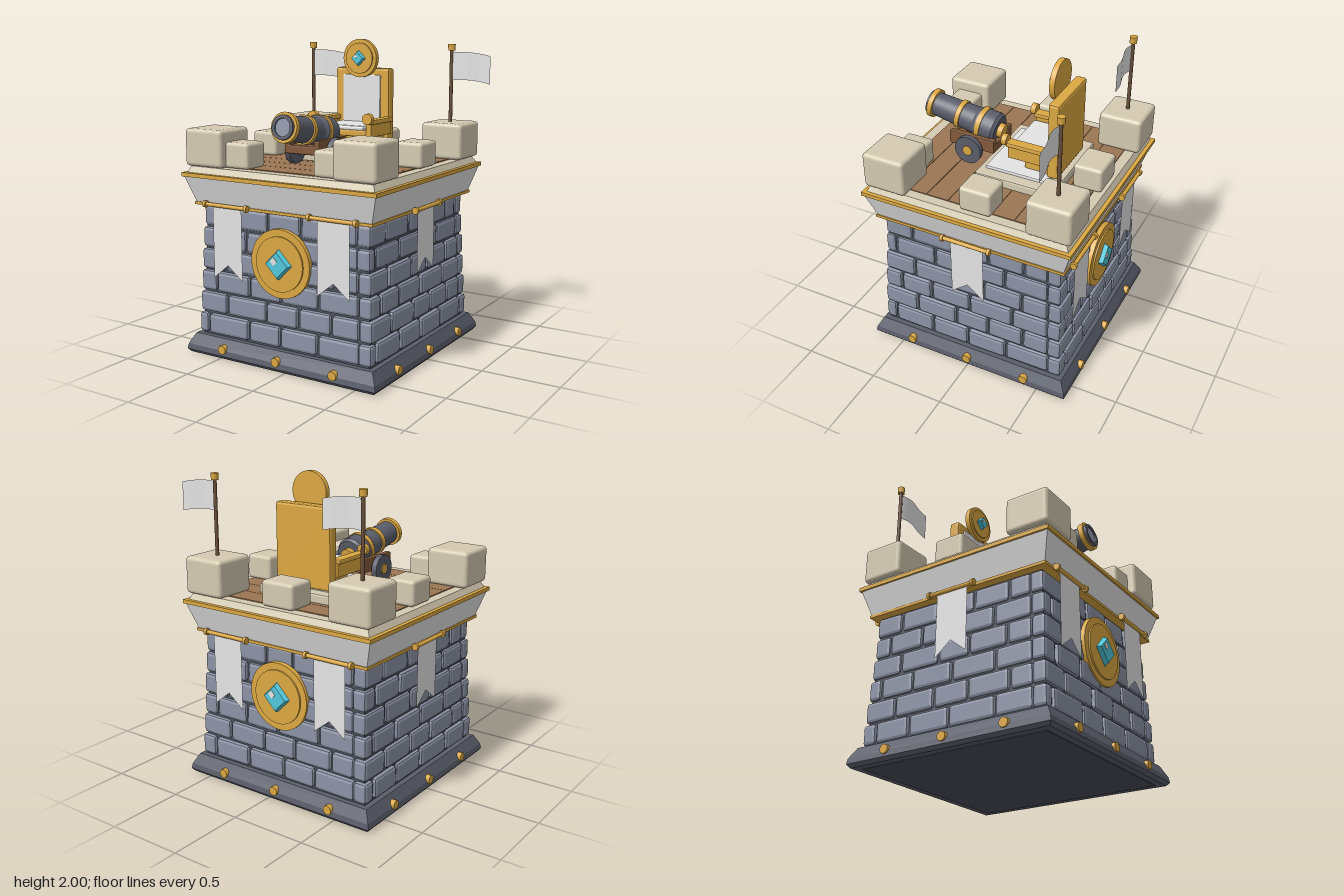
import * as THREE from 'three';
import { mergeGeometries } from 'three/addons/utils/BufferGeometryUtils.js';
import { RoundedBoxGeometry } from 'three/addons/geometries/RoundedBoxGeometry.js';

const palette = {
  gold: 0xdca842, cream: 0xd5cbb2, white: 0xe4e4e4, brick: 0x8d93a6, darkStone: 0x5a5e6a,
  mortar: 0x4a4e59, wood: 0x9b7652, darkWood: 0x82593a, poleWood: 0x6a4f3a, gem: 0x50c8dc,
};
const mats = {};
for (const [name, color] of Object.entries(palette)) {
  mats[name] = new THREE.MeshStandardMaterial({ color });
  mats[name].name = name;
}
mats.white.side = THREE.DoubleSide; // thin cloth shows from both sides

let seed = 7;
const rand = () => (seed = (seed * 16807) % 2147483647) / 2147483647;

function flat(geo) {
  const g = geo.index ? geo.toNonIndexed() : geo;
  g.computeVertexNormals();
  return g;
}
function add(parent, name, geo, mat, x = 0, y = 0, z = 0) {
  const m = new THREE.Mesh(geo, mats[mat]);
  m.name = name;
  m.position.set(x, y, z);
  parent.add(m);
  return m;
}
// Square slab, half widths at bottom and top, from y0 to y1
function slab(parent, name, mat, h0, h1, y0, y1) {
  const g = new THREE.CylinderGeometry(h1 * Math.SQRT2, h0 * Math.SQRT2, y1 - y0, 4).rotateY(Math.PI / 4);
  return add(parent, name, flat(g), mat, 0, (y0 + y1) / 2, 0);
}
// Bevelled box given by its extents
function block(parent, name, mat, x0, x1, y0, y1, z0, z1, r = 0.01) {
  const g = flat(new RoundedBoxGeometry(x1 - x0, y1 - y0, z1 - z0, r > 0.02 ? 3 : 1, r));
  return add(parent, name, g, mat, (x0 + x1) / 2, (y0 + y1) / 2, (z0 + z1) / 2);
}
const discZ = (r, d, n = 32) => new THREE.CylinderGeometry(r, r, d, n).rotateX(Math.PI / 2);
const rodX = (r, l, n = 12) => new THREE.CylinderGeometry(r, r, l, n).rotateZ(Math.PI / 2);

// One group per wall, turned about the tower
function onWalls(parent, name, walls, build) {
  for (const k of walls) {
    const g = new THREE.Group();
    g.name = name;
    g.rotation.y = (k * Math.PI) / 2;
    parent.add(g);
    build(g);
  }
}

// Gold disc with a raised centre and a diamond-set gem, facing +z
function medallion(parent, name, r, gemR, x, y, z, depth) {
  const g = new THREE.Group();
  g.name = name;
  g.position.set(x, y, z);
  parent.add(g);
  add(g, 'medallionDisc', discZ(r, depth, 40), 'gold', 0, 0, depth / 2);
  add(g, 'medallionFace', discZ(r * 0.8, 0.01, 40), 'gold', 0, 0, depth + 0.005);
  const cut = flat(new THREE.CylinderGeometry(gemR * 0.8, gemR, 0.035, 4).rotateX(Math.PI / 2));
  add(g, 'gem', cut, 'gem', 0, 0, depth + 0.02);
  const glint = add(g, 'gemGlint', new THREE.BoxGeometry(gemR * 0.38, gemR * 0.38, 0.004), 'white', -gemR * 0.2, gemR * 0.22, depth + 0.039);
  glint.rotation.z = Math.PI / 4;
}

function banner(parent, x, bottom) {
  const w = 0.112, s = new THREE.Shape();
  s.moveTo(-w, bottom).lineTo(0, bottom + 0.09).lineTo(w, bottom).lineTo(w, 0.99).lineTo(-w, 0.99);
  add(parent, 'bannerCloth', new THREE.ShapeGeometry(s), 'white', x, 0, 0.654);
  add(parent, 'bannerRod', rodX(0.013, 0.33), 'gold', x, 0.99, 0.665);
  for (const e of [-0.16, 0.16]) add(parent, 'bannerRodEnd', rodX(0.022, 0.02), 'gold', x + e, 0.99, 0.665);
}

function buildTower(t) {
  add(t, 'underside', new THREE.BoxGeometry(1.27, 0.008, 1.27), 'mortar', 0, 0.004, 0);
  slab(t, 'plinthFoot', 'darkStone', 0.685, 0.703, 0.003, 0.025);
  slab(t, 'plinth', 'darkStone', 0.703, 0.697, 0.025, 0.06);
  slab(t, 'plinthSlope', 'darkStone', 0.697, 0.66, 0.06, 0.128);
  slab(t, 'wallCore', 'mortar', 0.625, 0.592, 0.12, 0.99);

  // Six courses of bricks, seams shifted on every other course
  const seams = [[0, 0.09, 0.31, 0.54, 0.77, 1], [0, 0.19, 0.43, 0.63, 0.86, 1]];
  onWalls(t, 'brickWall', [0, 1, 2, 3], (g) => {
    const bricks = [];
    for (let row = 0; row < 6; row++) {
      const h = 0.65 - row * 0.0068, d = 0.09, span = 2 * h - d;
      const cuts = seams[row % 2].map((c, i) => -h + span * (i > 0 && i < 5 ? c + (rand() - 0.5) * 0.05 : c));
      for (let i = 0; i < 5; i++) {
        const out = rand() * 0.01;
        const b = flat(new RoundedBoxGeometry(cuts[i + 1] - cuts[i] - 0.012, 0.131, d, 1, 0.02));
        b.rotateZ((rand() - 0.5) * 0.02);
        bricks.push(b.translate((cuts[i] + cuts[i + 1]) / 2, 0.203 + row * 0.1405, h - d / 2 - out));
      }
    }
    add(g, 'bricks', mergeGeometries(bricks), 'brick');
    for (const x of [-0.413, 0, 0.413]) add(g, 'plinthStud', discZ(0.029, 0.05, 10), 'gold', x, 0.068, 0.686);
  });

  // Cornice and roof edge
  slab(t, 'corniceBand', 'gold', 0.65, 0.65, 0.977, 0.995);
  slab(t, 'cornice', 'white', 0.642, 0.695, 0.993, 1.16);
  slab(t, 'corniceTrim', 'gold', 0.706, 0.706, 1.158, 1.183);
  slab(t, 'roofEdge', 'cream', 0.68, 0.66, 1.183, 1.222);

  // Plank floor
  slab(t, 'floorBed', 'wood', 0.594, 0.594, 1.2, 1.2235);
  const n = 8, pw = 1.19 / n;
  for (let i = 0; i < n; i++) {
    add(t, 'floorPlank', new THREE.BoxGeometry(1.19, 0.02, pw - 0.004), 'wood', 0, 1.218, -0.595 + pw * (i + 0.5));
  }

  // Banners and medallions on front and back, one banner on each side
  onWalls(t, 'mainWallDecor', [0, 2], (g) => {
    banner(g, -0.39, 0.52);
    banner(g, 0.39, 0.52);
    medallion(g, 'wallMedallion', 0.215, 0.1, 0, 0.672, 0.61, 0.032);
  });
  onWalls(t, 'sideWallDecor', [1, 3], (g) => banner(g, 0, 0.575));

  // Battlements
  const merlon = (name, x, z, w, d, top, r) =>
    block(t, name, 'cream', x - w / 2, x + w / 2, 1.225, top, z - d / 2, z + d / 2, r);
  for (const s of [-1, 1]) {
    for (const z of [-0.55, 0.545]) merlon('cornerMerlon', s * 0.545, z, 0.287, 0.287, 1.46, 0.025);
    merlon('frontMerlon', s * 0.338, 0.543, 0.2, 0.185, 1.385, 0.022);
    merlon('sideMerlon', s * 0.547, -0.055, 0.188, 0.21, 1.385, 0.022);
  }
  merlon('backMerlon', 0, -0.55, 0.236, 0.19, 1.385, 0.022);

  // Flags on the back corners, cloth bent in a wave
  for (const x of [-0.545, 0.545]) {
    add(t, 'flagPole', new THREE.CylinderGeometry(0.012, 0.012, 0.5, 12), 'poleWood', x, 1.69, -0.55);
    add(t, 'flagPoleCap', new THREE.CylinderGeometry(0.025, 0.023, 0.042, 12), 'gold', x, 1.948, -0.55);
    const cloth = new THREE.PlaneGeometry(0.265, 0.18, 14, 1);
    const p = cloth.attributes.position;
    for (let i = 0; i < p.count; i++) {
      const u = p.getX(i) / 0.265 + 0.5;
      p.setZ(i, 0.012 * Math.sin(u * Math.PI * 1.8));
      p.setY(i, p.getY(i) - 0.022 * u * u + 0.006 * Math.sin(u * Math.PI));
    }
    cloth.computeVertexNormals();
    add(t, 'flagCloth', cloth, 'white', x + 0.14, 1.825, -0.546);
  }
}

function buildThrone(t) {
  const g = new THREE.Group();
  g.name = 'throne';
  t.add(g);
  block(g, 'dais', 'cream', -0.326, 0.326, 1.22, 1.285, -0.415, 0.115, 0.012);
  block(g, 'daisTop', 'white', -0.252, 0.252, 1.27, 1.305, -0.345, 0.073, 0.008);
  block(g, 'seatBase', 'gold', -0.17, 0.17, 1.3, 1.385, -0.34, -0.155);
  block(g, 'seat', 'gold', -0.185, 0.185, 1.38, 1.425, -0.34, -0.06);
  block(g, 'cushion', 'white', -0.163, 0.163, 1.415, 1.452, -0.32, -0.062, 0.014);
  block(g, 'throneBack', 'gold', -0.205, 0.205, 1.3, 1.81, -0.392, -0.318, 0.016);
  block(g, 'backPanel', 'white', -0.143, 0.143, 1.42, 1.765, -0.33, -0.308, 0.006);
  for (const s of [-1, 1]) {
    block(g, 'armPanel', 'gold', s * 0.2 - 0.02, s * 0.2 + 0.02, 1.38, 1.47, -0.33, -0.062, 0.006);
    block(g, 'armRest', 'gold', s * 0.2 - 0.034, s * 0.2 + 0.034, 1.462, 1.492, -0.33, -0.055, 0.008);
    add(g, 'armScroll', discZ(0.036, 0.034, 20), 'gold', s * 0.208, 1.5, -0.045);
  }
  medallion(g, 'throneMedallion', 0.126, 0.053, 0, 1.874, -0.32, 0.034);
}

function buildCannon(t) {
  const g = new THREE.Group();
  g.name = 'cannon';
  t.add(g);
  block(g, 'carriage', 'darkWood', -0.128, 0.128, 1.31, 1.365, 0.08, 0.4, 0.008);
  for (const s of [-1, 1]) {
    block(g, 'carriageCheek', 'darkWood', s * 0.108 - 0.02, s * 0.108 + 0.02, 1.32, 1.4, 0.08, 0.4, 0.008);
    add(g, 'wheel', rodX(0.092, 0.036, 24), 'darkStone', s * 0.155, 1.318, 0.245);
    add(g, 'wheelHub', rodX(0.034, 0.05, 10), 'gold', s * 0.155, 1.318, 0.245);
  }
  add(g, 'axle', rodX(0.02, 0.3), 'darkWood', 0, 1.318, 0.245);

  // Barrel runs along local z from breech to muzzle
  const b = new THREE.Group();
  b.name = 'barrel';
  b.position.set(0, 1.415, 0.105);
  b.rotation.x = -0.165;
  g.add(b);
  const profile = [[0, 0], [0.09, 0], [0.104, 0.02], [0.102, 0.14], [0.088, 0.16], [0.076, 0.45], [0.076, 0.503], [0.055, 0.503], [0.052, 0.47]];
  // Doubled points keep the profile's edges crisp
  const pts = profile.flatMap(([r, z]) => [new THREE.Vector2(r, z), new THREE.Vector2(r, z + 1e-5)]);
  add(b, 'barrelBody', new THREE.LatheGeometry(pts, 28).rotateX(Math.PI / 2), 'darkStone');
  add(b, 'bore', discZ(0.055, 0.006, 28), 'brick', 0, 0, 0.492);
  for (const [r, z] of [[0.109, 0.115], [0.093, 0.27], [0.094, 0.47]]) {
    add(b, 'barrelRing', discZ(r, 0.032, 28), 'gold', 0, 0, z);
  }
  add(b, 'breechKnob', discZ(0.047, 0.04, 20), 'gold', 0, 0, -0.015);
}

export function createModel() {
  const model = new THREE.Group();
  model.name = 'throneTower';
  const tower = new THREE.Group();
  tower.name = 'tower';
  tower.position.x = -0.055;
  model.add(tower);
  buildTower(tower);
  buildThrone(tower);
  buildCannon(tower);
  return model;
}
